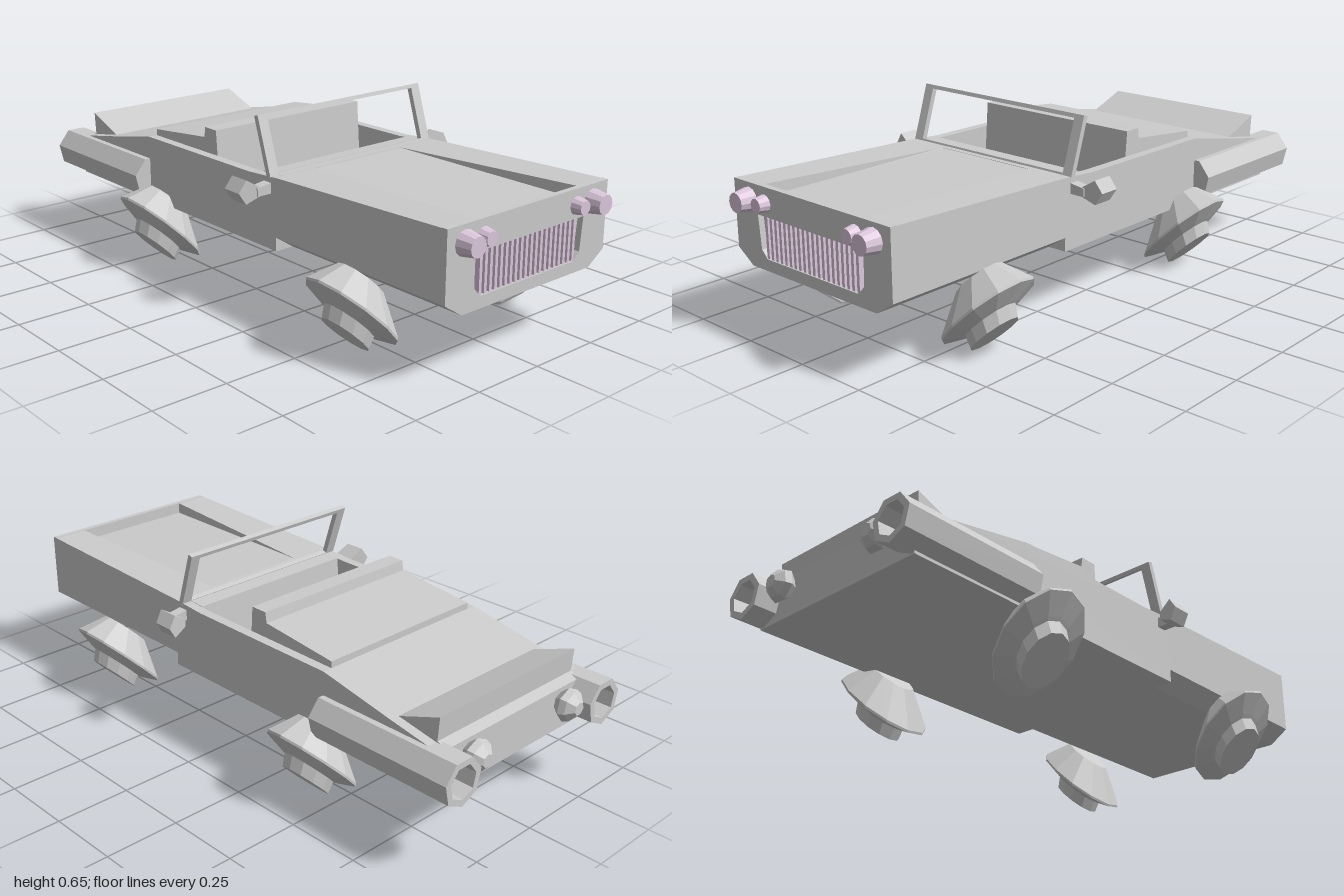
import * as THREE from 'three';

const grey = new THREE.MeshStandardMaterial({ color: 0xcccccc, flatShading: true, side: THREE.DoubleSide });
const pink = new THREE.MeshStandardMaterial({ color: 0xdcc8dc, flatShading: true });

const shapeOf = pts => new THREE.Shape(pts.map(p => new THREE.Vector2(p[0], p[1])));
const extrude = (shape, depth) => new THREE.ExtrudeGeometry(shape, { depth, bevelEnabled: false });

// Extrudes a (z, y) side profile across x, from x0 to x1
function acrossX(pts, x0, x1) {
  return extrude(shapeOf(pts), x1 - x0).rotateY(-Math.PI / 2).translate(x1, 0, 0);
}

// Moves every vertex by a rule
function warp(geo, rule) {
  const p = geo.attributes.position, v = new THREE.Vector3();
  for (let i = 0; i < p.count; i++) {
    rule(v.fromBufferAttribute(p, i));
    p.setXYZ(i, v.x, v.y, v.z);
  }
  geo.computeVertexNormals();
  return geo;
}

const lathe = (pts, sides) => new THREE.LatheGeometry(pts.map(p => new THREE.Vector2(p[0], p[1])), sides);

// Splayed wheel: its discs lie on a 45 degree slope and its axle leans
function wheelGeometry(s) {
  const geo = lathe([[0, -0.09], [0.09, -0.09], [0.182, -0.005], [0.182, 0.002], [0.112, 0.022],
    [0.1, 0.025], [0.094, 0.062], [0, 0.062]], 12);
  return warp(geo, v => v.set(
    s * (0.348 + 0.4 * v.y + 0.707 * v.x),
    0.134 - 1.05 * v.y + 0.707 * v.x,
    -s * 0.825 * v.z));
}

export function createModel() {
  const model = new THREE.Group();
  const add = (name, geo, x = 0, y = 0, z = 0, mat = grey) => {
    const mesh = new THREE.Mesh(geo, mat);
    mesh.name = name;
    mesh.position.set(x, y, z);
    model.add(mesh);
    return mesh;
  };

  // Cabin tub, rear bench, deck and tail spoiler
  add('cabinAndDeck', acrossX([[0.23, 0.225], [0.23, 0.465], [0.13, 0.46], [0.12, 0.26], [-0.1, 0.26],
    [-0.12, 0.54], [-0.18, 0.54], [-0.185, 0.505], [-0.47, 0.475], [-0.47, 0.453], [-0.74, 0.4],
    [-0.89, 0.455], [-0.885, 0.378], [-0.92, 0.367], [-0.92, 0.225]], -0.315, 0.315));
  for (const s of [-1, 1]) {
    add('sidePanel', acrossX([[0.23, 0.225], [0.23, 0.465], [0.1, 0.456], [-0.47, 0.453], [-0.74, 0.4],
      [-0.92, 0.367], [-0.92, 0.225]], s > 0 ? 0.315 : -0.348, s > 0 ? 0.348 : -0.315));
  }

  // Nose: the hood sinks between the fenders towards the front
  const FENDER = 0.465, HOOD = 0.464;
  const nose = extrude(shapeOf([[-0.28, 0.225], [0.28, 0.225], [0.348, 0.27], [0.348, FENDER], [0.191, FENDER],
    [0.19, HOOD], [-0.19, HOOD], [-0.191, FENDER], [-0.348, FENDER], [-0.348, 0.27]]), 0.7);
  warp(nose, v => {
    const t = v.z / 0.7;
    if (v.y > 0.4646) v.y += 0.024 * t;
    else if (v.y > 0.4) v.y -= 0.014 * t;
    if (Math.abs(v.x) < 0.2) v.x *= 1 + 0.18 * t;
  });
  add('hoodAndFenders', nose, 0, 0, 0.23);

  // Front panel with the grille opening
  const panel = shapeOf([[-0.28, 0.225], [0.28, 0.225], [0.348, 0.27], [0.348, 0.49], [-0.348, 0.49], [-0.348, 0.27]]);
  panel.holes.push(shapeOf([[-0.24, 0.397], [-0.23, 0.288], [-0.205, 0.263], [0.205, 0.263], [0.23, 0.288], [0.24, 0.397]]));
  add('frontPanel', extrude(panel, 0.02), 0, 0, 0.93);
  for (let i = 0; i < 20; i++) {
    add('grilleBar', new THREE.BoxGeometry(0.011, 0.132, 0.018), (i - 9.5) * 0.0215, 0.33, 0.938, pink);
  }

  // Windshield frame, leaning back
  const frame = shapeOf([[-0.35, 0], [0.35, 0], [0.35, 0.197], [-0.35, 0.197]]);
  frame.holes.push(shapeOf([[-0.314, 0.01], [0.314, 0.01], [0.314, 0.184], [-0.314, 0.184]]));
  add('windshieldFrame', extrude(frame, 0.018), 0, 0.455, 0.19).rotation.x = -0.31;

  for (const s of [-1, 1]) {
    // Headlights
    for (const [x, y, r, len] of [[0.277, 0.436, 0.04, 0.052], [0.203, 0.438, 0.029, 0.035]]) {
      add('headlight', new THREE.CylinderGeometry(r * 0.78, r, len, 12).rotateX(Math.PI / 2),
        s * x, y, 0.948 + len / 2, pink);
    }

    // Wing mirrors
    add('mirrorArm', extrude(shapeOf([[0.34, 0.445], [0.4, 0.436], [0.4, 0.409], [0.34, 0.409]]
      .map(p => [s * p[0], p[1]])), 0.035), 0, 0, 0.172);
    add('mirrorHead', warp(extrude(shapeOf([[0.385, 0.435], [0.434, 0.466], [0.46, 0.427], [0.436, 0.388], [0.385, 0.41]]
      .map(p => [s * p[0], p[1]])), 0.072), v => { v.z -= 0.2 * (Math.abs(v.x) - 0.4); }), 0, 0, 0.13);

    // Wheels
    for (const z of [0.58, -0.42]) add('wheel', wheelGeometry(s), 0, 0, z);

    // Exhaust: seven-sided pipe with a hollow end
    add('exhaustPipe', lathe([[0, 0], [0.077, 0], [0.077, 0.53], [0.055, 0.53], [0.05, 0.46], [0, 0.46]], 7)
      .rotateX(-Math.PI / 2).rotateZ(Math.PI), s * 0.335, 0.305, -0.47);

    // Tail lamp
    add('tailLamp', lathe([[0.03, 0], [0.056, 0.03], [0.048, 0.05], [0.022, 0.072], [0, 0.072]], 7)
      .rotateX(-Math.PI / 2), s * 0.218, 0.32, -0.918);
  }
  return model;
}
